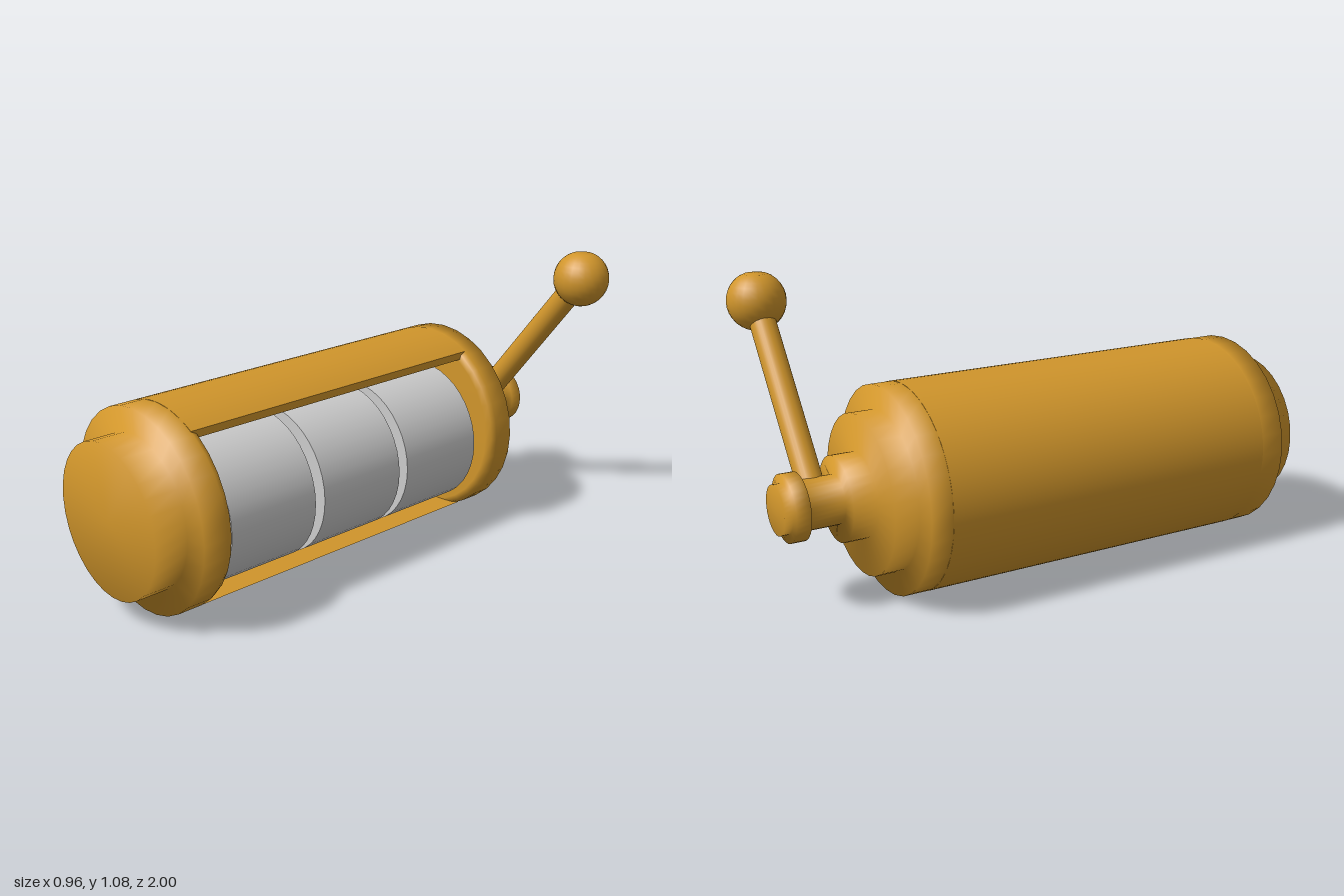
import * as THREE from 'three';
import { toCreasedNormals } from 'three/addons/utils/BufferGeometryUtils.js';

const AX = -0.11, AY = 0.372, R = 0.371; // main axis and body radius

export function createModel() {
  const model = new THREE.Group();
  const brass = new THREE.MeshStandardMaterial({ color: 0xd0952b });
  const grey = new THREE.MeshStandardMaterial({ color: 0xcccccc });

  const add = (name, geometry, material, x = 0, y = 0, z = 0) => {
    const mesh = new THREE.Mesh(geometry, material);
    mesh.name = name;
    mesh.position.set(x, y, z);
    model.add(mesh);
    return mesh;
  };
  // Turned part along z; profile is [radius, z] with z rising on the outside
  const turned = (name, profile) => {
    const points = profile.map(([r, z]) => new THREE.Vector2(r, z));
    add(name, new THREE.LatheGeometry(points, 32).rotateX(Math.PI / 2), brass, AX, AY);
  };

  // Front end cap with its boss
  turned('frontCap', [[0, 0.75], [0.34, 0.75], [0.362, 0.759], [R, 0.78],
    [R, 0.875], [0.28, 0.875], [0.28, 1], [0, 1]]);

  // Rear end cap, stepping down to the crank hub and collar
  turned('rearCapAndHub', [[0, -1], [0.087, -1], [0.087, -0.97], [0.118, -0.97],
    [0.118, -0.918], [0.087, -0.918], [0.087, -0.785], [0.151, -0.785],
    [0.151, -0.698], [0.284, -0.698], [0.284, -0.61], [R, -0.61],
    [R, -0.53], [0.362, -0.509], [0.34, -0.5], [0, -0.5]]);

  // Housing wall with a slot-shaped cavity open to the side
  const wall = new THREE.Shape();
  const top = 0.663, floor = 0.05, mid = (top + floor) / 2;
  wall.absarc(AX, AY, R, Math.acos((0.08 - AX) / R), 2 * Math.PI - Math.asin((AY - floor) / R), false);
  wall.lineTo(-0.07, floor);
  wall.absarc(-0.07, mid, top - mid, -Math.PI / 2, Math.PI / 2, true);
  wall.lineTo(0.08, top);
  wall.closePath();
  const wallGeometry = new THREE.ExtrudeGeometry(wall, { depth: 1.31, bevelEnabled: false, curveSegments: 32 });
  add('housing', toCreasedNormals(wallGeometry, 0.5), brass, 0, 0, -0.53);

  // Axle and the three drums
  const axle = new THREE.CylinderGeometry(0.087, 0.087, 1.27, 32).rotateX(Math.PI / 2);
  add('axle', axle, brass, AX, AY, 0.125);
  const drum = new THREE.CylinderGeometry(0.277, 0.277, 0.367, 40).rotateX(Math.PI / 2);
  for (const z of [-0.275, 0.133, 0.542]) add('drum', drum, grey, -0.067, 0.35, z);

  // Crank rod from the hub to the knob
  const start = new THREE.Vector3(AX, AY, -0.857), end = new THREE.Vector3(0.372, 0.98, -0.857);
  const along = end.clone().sub(start);
  const rod = add('crankRod', new THREE.CylinderGeometry(0.047, 0.047, along.length(), 24), brass);
  rod.position.copy(start).add(end).multiplyScalar(0.5);
  rod.quaternion.setFromUnitVectors(new THREE.Vector3(0, 1, 0), along.normalize());

  // Round knob with a slightly flattened top
  const knob = new THREE.SphereGeometry(0.106, 24, 16);
  const p = knob.attributes.position;
  for (let i = 0; i < p.count; i++) p.setY(i, Math.min(p.getY(i), 0.097));
  add('crankKnob', knob, brass, end.x, end.y, end.z);

  return model;
}
